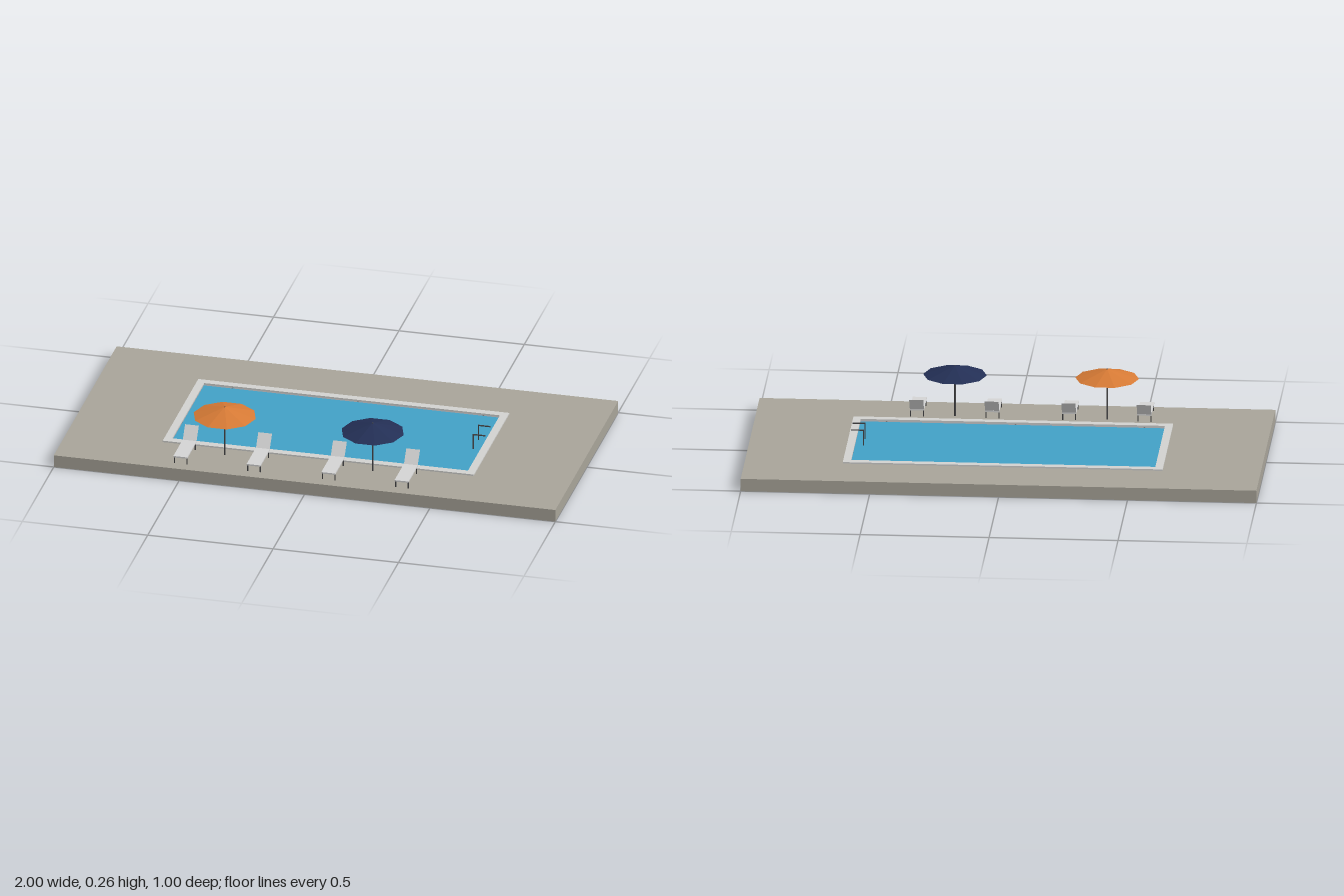
import * as THREE from 'three';

const mat = (name, color, side = THREE.FrontSide) => {
  const m = new THREE.MeshStandardMaterial({ color, side });
  m.name = name;
  return m;
};

// Rectangular ring lying flat, sizes are half extents
function ringShape(ox, oz, ix, iz) {
  const rect = (T, x, z) => {
    const p = new T();
    p.moveTo(-x, -z);
    p.lineTo(x, -z);
    p.lineTo(x, z);
    p.lineTo(-x, z);
    p.closePath();
    return p;
  };
  const shape = rect(THREE.Shape, ox, oz);
  shape.holes.push(rect(THREE.Path, ix, iz));
  return shape;
}

export function createModel() {
  const root = new THREE.Group();
  root.name = 'poolTerrace';

  const stone = mat('stone', 0xa8a499, THREE.DoubleSide);
  const trim = mat('trim', 0xd2d2d0);
  const water = mat('water', 0x42a1c6, THREE.DoubleSide);
  const orange = mat('orange', 0xd67a35);
  const navy = mat('navy', 0x232f55);
  const fabric = mat('fabric', 0xd4d4d4, THREE.DoubleSide);
  const metal = mat('metal', 0x444446);

  const add = (parent, name, geo, material, x = 0, y = 0, z = 0) => {
    const m = new THREE.Mesh(geo, material);
    m.name = name;
    m.position.set(x, y, z);
    parent.add(m);
    return m;
  };
  const group = (name, x, y, z) => {
    const g = new THREE.Group();
    g.name = name;
    g.position.set(x, y, z);
    root.add(g);
    return g;
  };

  const DECK = 0.05, PX = 0.59, PZ = 0.253;

  // Deck: open-bottomed shell with the pool opening cut in its top
  add(root, 'deckTop', new THREE.ShapeGeometry(ringShape(1, 0.5, PX, PZ)).rotateX(-Math.PI / 2), stone, 0, DECK, 0);
  for (const s of [1, -1]) {
    const turn = s > 0 ? 0 : Math.PI;
    add(root, 'deckLongWall', new THREE.PlaneGeometry(2, DECK).rotateY(turn), stone, 0, DECK / 2, s * 0.5);
    add(root, 'deckShortWall', new THREE.PlaneGeometry(1, DECK).rotateY(turn + Math.PI / 2), stone, s, DECK / 2, 0);
  }

  // Pool coping and water
  const coping = new THREE.ExtrudeGeometry(ringShape(0.62, 0.283, PX, PZ), { depth: 0.006, bevelEnabled: false });
  add(root, 'coping', coping.rotateX(-Math.PI / 2), trim, 0, DECK, 0);
  add(root, 'water', new THREE.PlaneGeometry(PX * 2, PZ * 2).rotateX(-Math.PI / 2), water, 0, 0.046, 0);

  // Ladder handrails
  for (const z of [0.042, -0.042]) {
    const rail = group('handrail', 0.558, 0, z);
    add(rail, 'railPost', new THREE.BoxGeometry(0.004, 0.064, 0.004), metal, 0, 0.078, 0);
    add(rail, 'railTop', new THREE.BoxGeometry(0.05, 0.004, 0.004), metal, 0.023, 0.108, 0);
  }

  // Backrest: thin panel leaning towards the pool
  const backAngle = Math.atan2(0.038, 0.05);
  const backGeo = new THREE.PlaneGeometry(0.055, Math.hypot(0.038, 0.05));
  backGeo.rotateX(-backAngle);

  function lounger(x) {
    const g = group('lounger', x, 0, 0);
    add(g, 'seat', new THREE.BoxGeometry(0.055, 0.006, 0.15), fabric, 0, 0.08, 0.384);
    add(g, 'backrest', backGeo, fabric, 0, 0.107, 0.291);
    for (const lx of [-0.025, 0.025])
      for (const lz of [0.318, 0.45])
        add(g, 'loungerLeg', new THREE.BoxGeometry(0.004, 0.028, 0.004), metal, lx, 0.064, lz);
  }

  // Parasol: ten-sided canopy on a thin pole
  const canopy = new THREE.ConeGeometry(0.1235, 0.038, 10).rotateY(Math.PI / 2).toNonIndexed();
  canopy.computeVertexNormals();

  function parasol(x, colour) {
    const g = group('parasol', x, 0, 0.334);
    add(g, 'canopy', canopy, colour, 0, 0.237, 0);
    add(g, 'pole', new THREE.CylinderGeometry(0.003, 0.003, 0.206, 8), metal, 0, 0.153, 0);
  }

  // Two seating sets: a parasol with a lounger on either side
  for (const [x, colour] of [[-0.36, orange], [0.23, navy]]) {
    parasol(x, colour);
    lounger(x - 0.146);
    lounger(x + 0.146);
  }
  return root;
}
